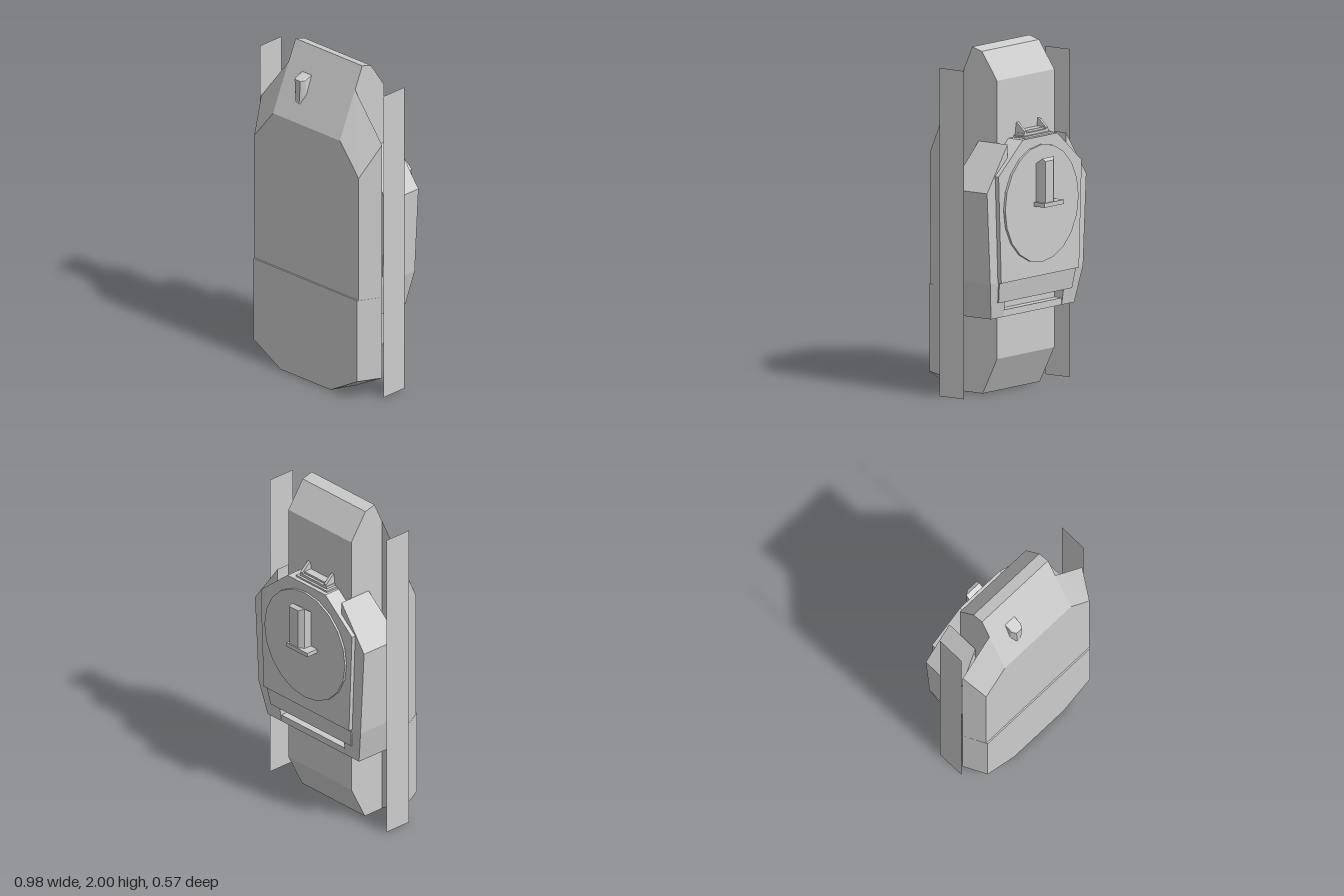
import * as THREE from 'three';
import { ConvexGeometry } from 'three/addons/geometries/ConvexGeometry.js';

const grey = new THREE.MeshStandardMaterial({ color: 0xcccccc, flatShading: true });
const thin = new THREE.MeshStandardMaterial({ color: 0xcccccc, flatShading: true, side: THREE.DoubleSide });

export function createModel() {
  const model = new THREE.Group();

  const add = (name, geometry, material = grey) => {
    const mesh = new THREE.Mesh(geometry, material);
    mesh.name = name;
    model.add(mesh);
    return mesh;
  };
  // Faceted solid from its corner points
  const hull = (name, pts) => add(name, new ConvexGeometry(pts.map((p) => new THREE.Vector3(...p))));
  // Same, with every corner mirrored across x
  const mirrored = (name, pts) => hull(name, pts.flatMap(([x, y, z]) => [[x, y, z], [-x, y, z]]));
  // Box given by its min and max corners
  const box = (name, x0, x1, y0, y1, z0, z1) =>
    add(name, new THREE.BoxGeometry(x1 - x0, y1 - y0, z1 - z0))
      .position.set((x0 + x1) / 2, (y0 + y1) / 2, (z0 + z1) / 2);

  // Spine: side profile (z, y) swept across x
  const spine = [[0.15, 0], [0.015, 0], [-0.09, 0.21], [-0.09, 1.82], [0.02, 1.98], [0.09, 2], [0.15, 1.867]];
  mirrored('spine', spine.map(([z, y]) => [0.265, y, z]));

  // Chamfered front shell, in two panels with a small step
  mirrored('upperFrontPanel', [
    [0.48, 0.63, 0.15], [0.48, 1.59, 0.15], [0.265, 1.87, 0.15],
    [0.415, 0.63, 0.275], [0.415, 1.4, 0.275], [0.265, 1.59, 0.275],
  ]);
  mirrored('lowerFrontPanel', [
    [0.48, 0.63, 0.15], [0.48, 0.12, 0.15], [0.26, 0, 0.15],
    [0.412, 0.63, 0.284], [0.412, 0.12, 0.284], [0.2, 0, 0.284],
  ]);

  // Small tapered stud on the front slope
  const stud = [];
  for (const [y, w, z0, z1] of [[1.69, 0.022, 0.19, 0.235], [1.73, 0.044, 0.15, 0.225],
    [1.835, 0.037, 0.15, 0.235]]) {
    for (const s of [-1, 1]) {
      const x = -0.11 + s * w;
      stud.push([x, y + (y > 1.8 ? 0.02 : 0), z0], [x, y, z1 - 0.025], [-0.11 + s * w * 0.6, y, z1]);
    }
  }
  hull('frontStud', stud);

  // Side strips and rear flanks
  for (const s of [-1, 1]) {
    const strip = add(s > 0 ? 'leftStrip' : 'rightStrip', new THREE.PlaneGeometry(0.175, 1.9), thin);
    strip.rotation.y = s * Math.PI / 2;
    strip.position.set(s * 0.49, 0.95, 0.0625);

    const flank = [
      [0.27, 1.46, -0.17, 0.04], [0.46, 1.2, -0.17, 0.1], [0.43, 0.67, -0.17, 0.1],
      [0.27, 0.67, -0.17, 0.04], [0.385, 0.46, -0.14, 0.1], [0.27, 0.46, -0.14, 0.04],
    ];
    hull(s > 0 ? 'leftFlank' : 'rightFlank',
      flank.flatMap(([x, y, z0, z1]) => [[s * x, y, z0], [s * x, y, z1]]));
  }

  // Rear housing
  const plate = [[0.16, 1.475], [0.385, 1.29], [0.36, 0.67]];
  mirrored('rearPanel', plate.flatMap(([x, y]) => [[x, y, -0.05], [x, y, -0.195]]));
  mirrored('lowerRearPanel', [
    [0.355, 0.67, -0.05], [0.355, 0.67, -0.178], [0.34, 0.55, -0.05], [0.34, 0.55, -0.16],
  ]);
  box('rearLedge', -0.28, 0.28, 0.46, 0.5, -0.14, -0.02);

  // Round dial
  const dial = add('dial', new THREE.CylinderGeometry(0.34, 0.34, 0.02, 20));
  dial.rotation.x = Math.PI / 2;
  dial.position.set(0, 1.09, -0.198);

  // Upright handle and its foot
  const post = [[0.055, -0.2, 1.32], [0.055, -0.255, 1.36], [0.055, -0.277, 1.345],
    [-0.055, -0.2, 1.32], [-0.05, -0.255, 1.36], [-0.02, -0.277, 1.345]];
  hull('handlePost', post.flatMap(([x, z, y]) => [[x, y, z], [x, 1.09, z]]));
  box('handleFoot', -0.105, 0.072, 1.08, 1.105, -0.284, -0.2);

  // Stepped mount with two prongs on top of the housing
  const cx = -0.015;
  box('mountBase', cx - 0.13, cx + 0.13, 1.45, 1.485, -0.17, -0.07);
  box('mountStep', cx - 0.112, cx + 0.112, 1.48, 1.5, -0.155, -0.08);
  box('mountBar', cx - 0.09, cx + 0.09, 1.495, 1.512, -0.14, -0.085);
  for (const s of [-1, 1]) {
    const prong = [];
    for (const x of [cx + s * 0.09, cx + s * 0.108]) {
      prong.push([x, 1.49, -0.155], [x, 1.51, -0.155], [x, 1.55, -0.11], [x, 1.56, -0.095], [x, 1.49, -0.085]);
    }
    hull(s > 0 ? 'leftProng' : 'rightProng', prong);
  }

  return model;
}
